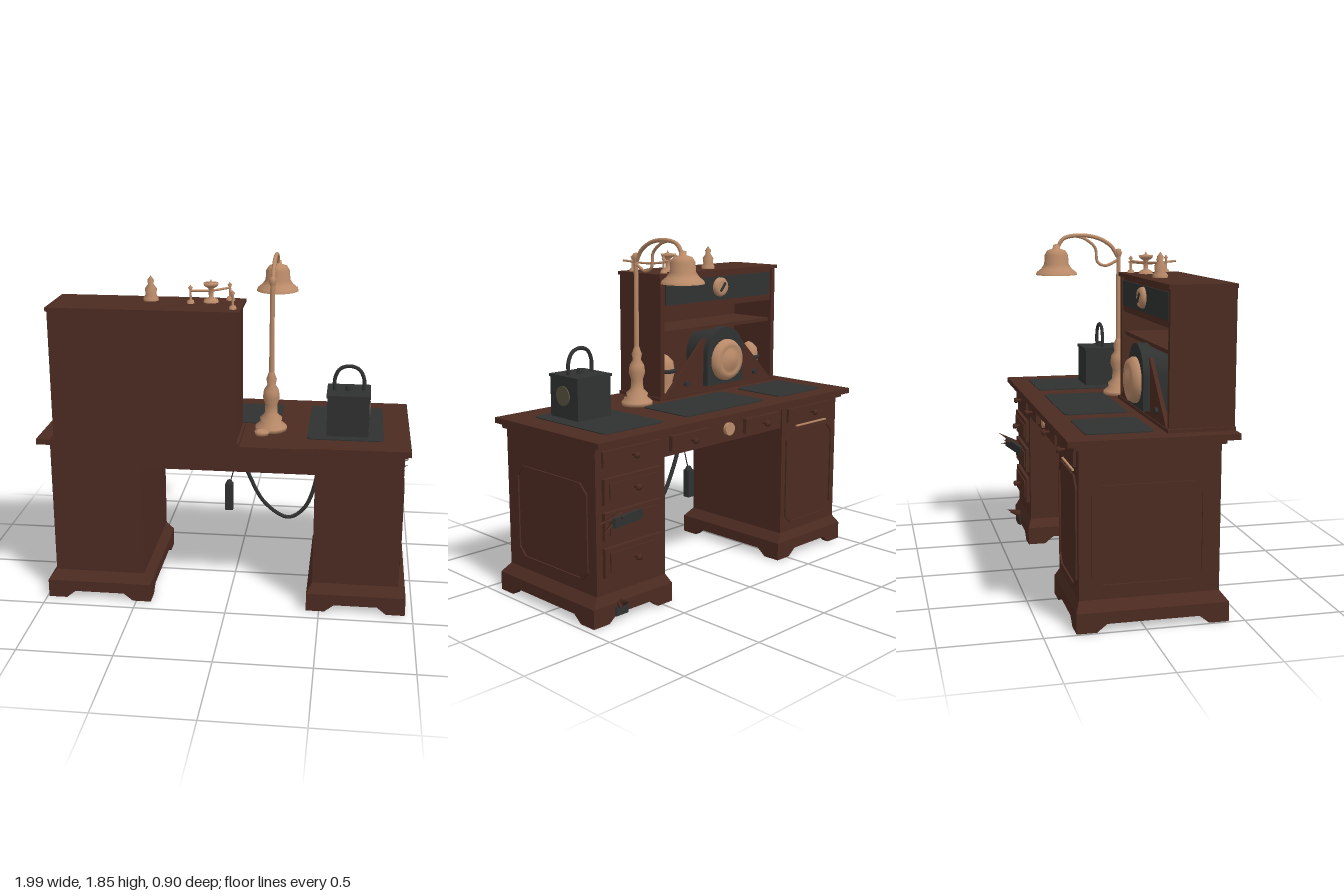
import * as THREE from 'three';

const mat = (name, color, side = THREE.FrontSide) => {
  const m = new THREE.MeshStandardMaterial({ color, side });
  m.name = name;
  return m;
};

export function createModel() {
  const wood = mat('mahogany', 0x4c2b21);
  const dark = mat('charcoal', 0x303131);
  const brass = mat('brass', 0xb98a68, THREE.DoubleSide);
  const olive = mat('dullGlass', 0x57523f);
  const root = new THREE.Group();
  const V = (x, y, z) => new THREE.Vector3(x, y, z);

  const add = (name, geo, m, x = 0, y = 0, z = 0, parent = root) => {
    const mesh = new THREE.Mesh(geo, m);
    mesh.name = name;
    mesh.position.set(x, y, z);
    parent.add(mesh);
    return mesh;
  };
  // box given by its limits on each axis
  const box = (name, m, x0, x1, y0, y1, z0, z1) =>
    add(name, new THREE.BoxGeometry(x1 - x0, y1 - y0, z1 - z0), m, (x0 + x1) / 2, (y0 + y1) / 2, (z0 + z1) / 2);
  const lathe = (name, pts, m, x, y, z, n = 24) =>
    add(name, new THREE.LatheGeometry(pts.map(p => new THREE.Vector2(...p)), n), m, x, y, z);
  const tube = (name, pts, r, m, n = 40) =>
    add(name, new THREE.TubeGeometry(new THREE.CatmullRomCurve3(pts.map(p => V(...p))), n, r, 8), m);
  const poly = pts => new THREE.Shape(pts.map(p => new THREE.Vector2(...p)));
  const extrude = (shape, depth) => new THREE.ExtrudeGeometry(shape, { depth, bevelEnabled: false, curveSegments: 20 });
  const rounded = (w, h, r) => {
    const s = new THREE.Shape(), a = w / 2, b = h / 2;
    s.absarc(a - r, b - r, r, 0, Math.PI / 2);
    s.absarc(-a + r, b - r, r, Math.PI / 2, Math.PI);
    s.absarc(-a + r, -b + r, r, Math.PI, Math.PI * 1.5);
    s.absarc(a - r, -b + r, r, Math.PI * 1.5, Math.PI * 2);
    return s;
  };
  const octagon = (w, h, c) => poly([[-w / 2 + c, -h / 2], [w / 2 - c, -h / 2], [w / 2, -h / 2 + c], [w / 2, h / 2 - c],
    [w / 2 - c, h / 2], [-w / 2 + c, h / 2], [-w / 2, h / 2 - c], [-w / 2, -h / 2 + c]]);
  // raised panel moulding with clipped corners
  const panelFrame = (name, w, h, x, y, z, ry) => {
    const s = octagon(w, h, 0.05);
    s.holes.push(octagon(w - 0.025, h - 0.025, 0.045));
    add(name, extrude(s, 0.009), wood, x, y, z).rotation.y = ry;
  };
  const knob = (x, y, z, m = wood) => {
    lathe('knob', [[0.008, 0], [0.008, 0.02], [0.018, 0.028], [0.014, 0.042], [0, 0.045]], m, x, y, z, 12).rotation.x = -Math.PI / 2;
  };
  const spike = (name, from, to, r, m) => {
    const a = V(...from), d = V(...to).sub(a), len = d.length();
    const s = add(name, new THREE.ConeGeometry(r, len, 4), m);
    s.position.copy(a).addScaledVector(d, 0.5);
    s.quaternion.setFromUnitVectors(V(0, 1, 0), d.normalize());
  };

  // pedestals on bracket-foot plinths
  for (const [x0, x1, p0, p1, side] of [[-0.95, -0.46, -0.99, -0.42, -1], [0.46, 0.92, 0.43, 0.96, 1]]) {
    box('pedestal', wood, x0, x1, 0.12, 0.9, -0.32, 0.38);
    box('plinthCore', wood, p0 + 0.01, p1 - 0.01, 0.04, 0.1, -0.33, 0.41);
    const w = p1 - p0, cx = (p0 + p1) / 2, d = 0.76;
    const flare = new THREE.BoxGeometry(w, 0.05, d), fp = flare.attributes.position;
    for (let i = 0; i < fp.count; i++) {
      if (fp.getY(i) > 0) {
        fp.setX(i, (fp.getX(i) > 0 ? x1 : x0) - cx);
        fp.setZ(i, fp.getZ(i) > 0 ? 0.34 : -0.36);
      }
    }
    flare.computeVertexNormals();
    add('plinthFlare', flare, wood, cx, 0.125, 0.04);
    const foot = n => extrude(poly([[-n / 2, 0], [-n / 2 + 0.1, 0], [-n / 2 + 0.15, 0.04], [n / 2 - 0.15, 0.04],
      [n / 2 - 0.1, 0], [n / 2, 0], [n / 2, 0.1], [-n / 2, 0.1]]), 0.04);
    add('plinthFront', foot(w), wood, cx, 0, 0.38);
    add('plinthBack', foot(w), wood, cx, 0, -0.34);
    add('plinthSide', foot(d), wood, p0, 0, 0.04).rotation.y = Math.PI / 2;
    add('plinthSide', foot(d), wood, p1 - 0.04, 0, 0.04).rotation.y = Math.PI / 2;
    panelFrame('sidePanel', 0.56, 0.5, side > 0 ? x1 : x0, 0.46, 0.02, side * Math.PI / 2);
  }

  // apron, top and mouldings
  box('apron', wood, -0.46, 0.46, 0.77, 0.9, -0.31, 0.38);
  box('topMoulding', wood, -0.97, 0.935, 0.885, 0.91, -0.345, 0.4);
  const top = add('desktop', extrude(poly([[-1, -0.46], [0.35, -0.46], [0.45, -0.445], [0.95, -0.44], [0.95, 0.38], [-1, 0.38]]), 0.03), wood, 0, 0.907, 0);
  top.rotation.x = -Math.PI / 2;
  for (const [x0, x1, z0, z1] of [[-0.87, -0.5, -0.27, 0.07], [-0.37, 0.25, -0.27, 0.07], [0.41, 0.81, -0.27, 0.3]]) {
    const b = add('blotter', extrude(rounded(x1 - x0, z1 - z0, 0.03), 0.006), dark, (x0 + x1) / 2, 0.936, (z0 + z1) / 2);
    b.rotation.x = -Math.PI / 2;
  }

  // drawers, door and fittings on the sitting side
  for (const [x0, x1] of [[0.5, 0.88], [0.14, 0.42], [-0.42, -0.14], [-0.9, -0.5]]) {
    box('railDrawer', wood, x0, x1, 0.795, 0.875, -0.335, -0.31);
    knob((x0 + x1) / 2, 0.835, -0.335);
  }
  for (const [y0, y1] of [[0.61, 0.74], [0.43, 0.57], [0.24, 0.39]]) {
    box('drawerFront', wood, 0.5, 0.88, y0, y1, -0.34, -0.31);
    box('drawerPanel', wood, 0.53, 0.85, y0 + 0.025, y1 - 0.025, -0.348, -0.34);
    if (y0 !== 0.43) knob(0.69, (y0 + y1) / 2, -0.345);
  }
  panelFrame('doorPanel', 0.42, 0.55, -0.705, 0.47, -0.32, Math.PI);
  box('doorBar', brass, -0.85, -0.58, 0.762, 0.77, -0.33, -0.32);
  const lock = add('apronMedallion', new THREE.CylinderGeometry(0.035, 0.035, 0.02, 20), brass, -0.02, 0.84, -0.32);
  lock.rotation.x = Math.PI / 2;

  // splintered drawer and foot
  const plank = add('brokenPlank', new THREE.BoxGeometry(0.24, 0.05, 0.02), dark, 0.76, 0.53, -0.37);
  plank.rotation.set(0, 0.25, 0.06);
  [[0.99, 0.575, -0.44], [0.98, 0.55, -0.4], [0.97, 0.51, -0.43], [0.84, 0.56, -0.43]].forEach(t =>
    spike('splinter', [0.78, 0.54, -0.34], t, 0.022, wood));
  [[0.8, 0.12, -0.42], [0.84, 0.09, -0.4]].forEach(t => spike('footSplinter', [0.78, 0.09, -0.33], t, 0.025, wood));
  box('footPatch', dark, 0.74, 0.82, 0.03, 0.08, -0.347, -0.34);

  // hutch, open towards the sitter
  box('hutchFrontPanel', wood, -0.905, 0.055, 0.91, 1.63, 0.43, 0.46);
  box('hutchSide', wood, -0.905, -0.875, 0.91, 1.63, 0.13, 0.45);
  box('hutchSide', wood, 0.025, 0.055, 0.91, 1.63, 0.13, 0.45);
  box('hutchTop', wood, -0.915, 0.07, 1.62, 1.64, 0.12, 0.46);
  box('hutchFoot', wood, -0.92, 0.07, 0.93, 0.955, 0.12, 0.46);
  box('hutchShelf', wood, -0.88, 0.03, 1.3, 1.32, 0.15, 0.44);
  box('hutchShelf', wood, -0.88, 0.03, 1.43, 1.45, 0.14, 0.44);
  box('cabinetFace', wood, -0.88, 0.03, 1.44, 1.625, 0.14, 0.17);
  box('cabinetPlate', dark, -0.86, 0.01, 1.465, 1.6, 0.132, 0.14);
  const medal = lathe('cabinetMedallion', [[0, 0.03], [0.03, 0.028], [0.045, 0.03], [0.055, 0.015], [0.055, 0]], brass, -0.42, 1.54, 0.135);
  medal.rotation.x = -Math.PI / 2;
  const hand = box('medallionHand', dark, -0.427, -0.413, 1.51, 1.57, 0.1, 0.108);
  hand.rotation.z = 0.7;

  // gabled fascia with the clock
  add('gableFascia', extrude(poly([[-0.875, 0.95], [0.025, 0.95], [-0.28, 1.25], [-0.57, 1.25]]), 0.02), wood, 0, 0, 0.125);
  const arch = poly([[-0.15, -0.12], [0.15, -0.12], [0.15, 0.06]]);
  arch.absarc(0, 0.06, 0.15, 0, Math.PI, false);
  add('clockCase', extrude(arch, 0.17), dark, -0.43, 1.1, 0.09);
  const dial = lathe('clockDial', [[0, 0.06], [0.05, 0.055], [0.065, 0.035], [0.08, 0.045], [0.105, 0.04], [0.12, 0.015], [0.12, 0]], brass, -0.43, 1.12, 0.09, 28);
  dial.rotation.x = -Math.PI / 2;
  for (const x of [-0.72, -0.14]) {
    const b = add('fasciaButton', new THREE.CylinderGeometry(0.016, 0.016, 0.02, 12), dark, x, 1.01, 0.12);
    b.rotation.x = Math.PI / 2;
  }
  for (const x of [-0.8, -0.08]) {
    lathe('shelfOrnament', [[0.05, 0], [0.045, 0.06], [0.06, 0.12], [0.05, 0.18], [0.02, 0.21], [0, 0.22]], brass, x, 0.955, 0.24, 16);
    add('ornamentBand', new THREE.TorusGeometry(0.058, 0.012, 8, 20), dark, x, 1.08, 0.24).rotation.x = Math.PI / 2;
  }

  // figurine and balance on the hutch
  lathe('figurine', [[0.04, 0], [0.04, 0.015], [0.028, 0.03], [0.032, 0.06], [0.014, 0.085], [0.018, 0.105], [0, 0.13]], brass, -0.415, 1.64, 0.22, 12);
  lathe('balanceStand', [[0.04, 0], [0.035, 0.015], [0.012, 0.025], [0.012, 0.07], [0.035, 0.085], [0.04, 0.1], [0.012, 0.095], [0, 0.12]], brass, -0.1, 1.64, 0.23, 14);
  for (const [x, z] of [[-0.2, 0.27], [-0.01, 0.17], [0.03, 0.38]]) {
    lathe('weight', [[0.02, 0], [0.016, 0.015], [0.006, 0.02], [0.006, 0.07], [0.012, 0.08], [0, 0.095]], brass, x, 1.64, z, 10);
  }
  tube('balanceBeam', [[-0.2, 1.705, 0.27], [-0.1, 1.7, 0.23], [-0.01, 1.705, 0.17]], 0.006, brass, 10);
  tube('balanceArm', [[-0.01, 1.7, 0.16], [0.01, 1.69, 0.27], [0.045, 1.7, 0.44]], 0.006, brass, 10);

  // gooseneck lamp
  const lx = 0.21, lz = 0.155;
  lathe('lampBase', [[0, 0], [0.085, 0], [0.085, 0.02], [0.055, 0.045], [0.06, 0.065], [0.035, 0.09], [0.032, 0.14], [0.045, 0.18],
    [0.04, 0.22], [0.022, 0.25], [0.028, 0.28], [0.014, 0.32]], brass, lx, 0.937, lz);
  add('lampPole', new THREE.CylinderGeometry(0.012, 0.014, 0.5, 12), brass, lx, 1.5, lz);
  lathe('lampBracket', [[0.014, 0], [0.02, 0.02], [0.014, 0.04], [0, 0.045]], brass, lx, 1.72, lz, 12);
  tube('lampArm', [[lx, 1.72, 0.15], [lx, 1.78, 0.11], [lx, 1.825, 0.03], [lx, 1.838, -0.08], [lx, 1.82, -0.16], [lx, 1.76, -0.2]], 0.011, brass);
  tube('lampScroll', [[lx, 1.7, 0.15], [lx, 1.67, 0.08], [lx, 1.69, 0.035], [lx, 1.77, 0.02], [lx, 1.82, -0.04], [lx, 1.835, -0.09]], 0.008, brass);
  lathe('lampShade', [[0.115, 0], [0.11, 0.015], [0.085, 0.035], [0.068, 0.06], [0.065, 0.11], [0.05, 0.135], [0.02, 0.145], [0.018, 0.165], [0, 0.17]], brass, lx, 1.622, -0.2, 28);
  add('lampBulb', new THREE.SphereGeometry(0.035, 14, 10), brass, lx, 1.67, -0.2);
  lathe('inkDish', [[0, 0], [0.035, 0], [0.04, 0.02], [0.02, 0.025], [0, 0.022]], brass, 0.17, 0.937, 0.25, 14);

  // metal case with hoop handle
  box('case', dark, 0.51, 0.73, 0.937, 1.15, 0.03, 0.25);
  box('caseLid', dark, 0.505, 0.735, 1.15, 1.165, 0.025, 0.255);
  const disc = add('caseDisc', new THREE.CylinderGeometry(0.052, 0.052, 0.008, 24), olive, 0.733, 1.06, 0.145);
  disc.rotation.z = Math.PI / 2;
  tube('caseHandle', [[0.545, 1.16, 0.14], [0.545, 1.23, 0.14], [0.57, 1.28, 0.14], [0.62, 1.297, 0.14], [0.67, 1.28, 0.14], [0.697, 1.23, 0.14], [0.697, 1.16, 0.14]], 0.01, dark);
  add('caseLatch', new THREE.CylinderGeometry(0.018, 0.022, 0.03, 10), dark, 0.62, 1.175, 0.14);

  // hanging cord and handset
  tube('cord', [[0.02, 0.77, 0], [0.08, 0.6, 0], [0.17, 0.44, 0], [0.3, 0.36, 0], [0.39, 0.42, 0], [0.45, 0.58, 0], [0.465, 0.77, 0]], 0.011, dark, 60);
  tube('handsetWire', [[0.025, 0.77, 0], [0, 0.67, 0], [-0.03, 0.56, 0]], 0.003, dark, 10);
  box('handset', dark, -0.057, -0.013, 0.395, 0.55, -0.02, 0.02);
  add('handsetCap', new THREE.CylinderGeometry(0.012, 0.022, 0.02, 10), dark, -0.035, 0.56, 0);

  return root;
}
